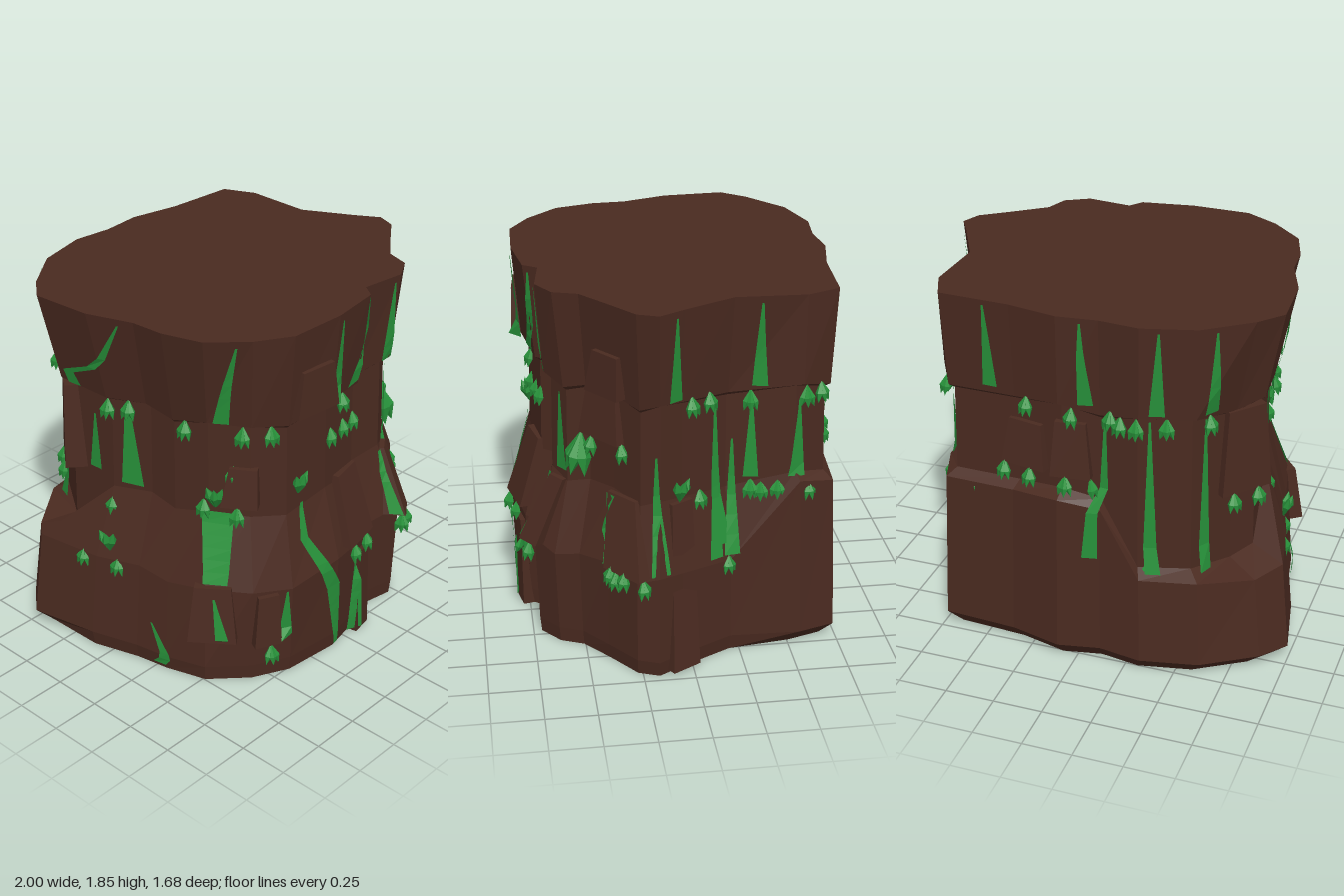
import * as THREE from 'three';
import { mergeGeometries } from 'three/addons/utils/BufferGeometryUtils.js';

const H = 1.85;
const rock = new THREE.MeshStandardMaterial({ color: 0x4a2a20, flatShading: true });
const green = new THREE.MeshStandardMaterial({ color: 0x27913a, flatShading: true, side: THREE.DoubleSide });

// Outline of the flat top as x, z pairs: left side, front, right side, back
const outline = [
  -0.88, -0.1, -0.8, 0.13, -0.79, 0.3, -0.73, 0.5, -0.57, 0.66, -0.4, 0.76, -0.1, 0.77,
  0.17, 0.73, 0.22, 0.66, 0.45, 0.69, 0.57, 0.62, 0.61, 0.5, 0.75, 0.39, 0.91, 0.27,
  0.95, 0.17, 0.88, 0.05, 0.75, -0.2, 0.76, -0.54, 0.69, -0.7, 0.33, -0.72, 0.08, -0.77,
  -0.12, -0.75, -0.32, -0.77, -0.58, -0.7, -0.8, -0.53, -0.9, -0.41];

// Cliff body: stacked rings, closed at both ends
function bodyGeometry() {
  const n = outline.length / 2, pos = [], index = [];
  for (let i = 0; i < n; i++) {
    const x = outline[2 * i], z = outline[2 * i + 1], wobble = Math.sin(i * 2.3);
    const left = x < -0.7, back = z < -0.5, front = z > 0.4, corner = x < -0.5 && z < -0.3;
    const swell = corner ? (left ? 1.11 : 1.08) : x > 0.7 ? 1.025 : 1.055 + 0.015 * wobble;
    const waist = left ? 0.85 : back ? 0.94 : 0.9;
    const lip = 1.38 + 0.025 * wobble;
    // The back steps in sharply above its ledge, the other sides slope in
    const ledge = (back && x > -0.2 ? 0.88 : 0.52) + 0.02 * wobble;
    const slope = ledge + (corner || back ? 0.04 : 0.36);
    const rows = [[0, 0], [0, swell * (z < -0.35 ? 0.92 : front ? 0.96 : 0.985)], [0.08, swell * (front ? 0.97 : 1)],
      [ledge, swell * (left ? 0.95 : back ? 0.965 : 0.99)], [slope, waist + 0.01], [lip - 0.02, waist],
      [lip, waist + 0.04 + 0.015 * wobble], [H, 1], [H, 0]];
    for (const [y, k] of rows) pos.push(x * k, y, z * k);
  }
  const r = pos.length / 3 / n;
  for (let i = 0; i < n; i++) for (let j = 0; j < r - 1; j++) {
    const a = i * r + j, b = ((i + 1) % n) * r + j;
    if (j > 0) index.push(a, b, b + 1);
    if (j < r - 2) index.push(a, b + 1, a + 1);
  }
  const g = new THREE.BufferGeometry();
  g.setAttribute('position', new THREE.Float32BufferAttribute(pos, 3));
  g.setIndex(index);
  g.computeVertexNormals();
  return g;
}

// One tuft: a narrow fan of pointed leaves growing up and out (+z)
function tuftGeometry() {
  const profile = [[0, 0], [0.022, 0.075], [0, 0.125]].map(p => new THREE.Vector2(...p));
  const leaves = [-0.3, 0, 0.3].map((side, i) =>
    new THREE.LatheGeometry(profile, 5).rotateX(0.2 + 0.15 * (i % 2)).rotateZ(-side));
  return mergeGeometries(leaves);
}

export function createModel() {
  const model = new THREE.Group();
  const add = (geometry, material, name) => {
    const mesh = new THREE.Mesh(geometry, material);
    mesh.name = name;
    model.add(mesh);
    return mesh;
  };
  const solids = [add(bodyGeometry(), rock, 'cliffBody')];
  const caster = new THREE.Raycaster();
  const cast = (from, dir) => {
    caster.set(from, dir);
    return caster.intersectObjects(solids)[0];
  };

  // Surface point facing compass angle az (degrees), h to the right, at height y
  function hit(az, h, y) {
    const a = az * Math.PI / 180;
    const d = new THREE.Vector3(Math.sin(a), 0, Math.cos(a));
    let found;
    for (let k = 1; !found; k -= 0.02) {
      const from = new THREE.Vector3(d.z, 0, -d.x).multiplyScalar(h * k).addScaledVector(d, 3).setY(y);
      found = cast(from, d.clone().negate());
    }
    const out = found.face.normal.clone().setY(0);
    if (out.length() < 0.2) out.copy(d);
    out.normalize();
    return { p: found.point, out, side: new THREE.Vector3(out.z, 0, -out.x) };
  }

  // Tapered rock slab leaning on the wall, thickest at its foot
  function slab(az, h, y0, y1, w) {
    const lo = hit(az, h, y0 + 0.01), hi = hit(az, h, y1), { out, side } = hit(az, h, (y0 + y1) / 2);
    const g = new THREE.BoxGeometry(w, 1, 1), v = g.attributes.position;
    for (let i = 0; i < v.count; i++) {
      const top = v.getY(i) > 0;
      const q = (top ? hi : lo).p.clone().setY(top ? y1 : y0)
        .addScaledVector(side, v.getX(i) * (top ? 0.75 : 1))
        .addScaledVector(out, v.getZ(i) < 0 ? -0.12 : top ? 0.025 : 0.05);
      v.setXYZ(i, q.x, q.y, q.z);
    }
    g.computeVertexNormals();
    return add(g, rock, 'rockSlab');
  }

  // Green streak draped on the wall from (h0, y0) down to (h1, y1)
  function streak(az, h0, y0, w0, h1, y1, w1) {
    const { out, side } = hit(az, (h0 + h1) / 2, (y0 + y1) / 2);
    const g = new THREE.PlaneGeometry(1, 1, 1, 6), v = g.attributes.position, lerp = THREE.MathUtils.lerp;
    for (let i = 0; i < v.count; i++) {
      const t = 0.5 - v.getY(i);
      const q = hit(az, lerp(h0, h1, t), lerp(y0, y1, t)).p.clone().addScaledVector(side, v.getX(i) * lerp(w0, w1, t));
      const found = cast(q.clone().addScaledVector(out, 0.25), out.clone().negate());
      if (found && found.distance < 0.32) q.copy(found.point);
      q.addScaledVector(out, 0.012);
      v.setXYZ(i, q.x, q.y, q.z);
    }
    g.computeVertexNormals();
    add(g, green, 'greenStreak');
  }

  const leafFan = tuftGeometry();
  function tuft(az, h, y, size = 0.9, up = false) {
    const { p, out } = hit(az, h, y);
    const m = add(leafFan, green, 'leafTuft');
    m.position.copy(p).addScaledVector(out, -0.005);
    m.rotation.set(0, Math.atan2(out.x, out.z), up ? 0 : Math.PI, 'YXZ');
    m.scale.setScalar(size);
  }

  // Slabs: facing angle, offset, bottom, top, width
  const slabs = [
    [0, -0.23, 1.4, 1.63, 0.26], [0, 0.07, 0.57, 0.93, 0.24], [0, 0.12, 0, 0.48, 0.12],
    [0, -0.53, 0.22, 0.5, 0.14], [-55, 0.03, 0.26, 0.55, 0.24], [0, 0.47, 0.53, 0.87, 0.13],
    [90, -0.38, 1.39, 1.6, 0.22], [90, -0.39, 1.14, 1.37, 0.26], [90, -0.31, 0.53, 0.88, 0.24],
    [90, -0.06, 0.02, 0.87, 0.16], [135, 0.3, 1.02, 1.25, 0.24],
    [225, 0.22, 0.92, 1.36, 0.28], [225, -0.53, 1.02, 1.3, 0.2], [225, 0.78, 0.95, 1.15, 0.18]];
  solids.push(...slabs.map(s => slab(...s)));

  // Pointed streaks: facing angle, top, bottom, then the offset of each
  const streaks = [
    [0, 1.82, 1.4, -0.82, -0.62, -0.08, 0.41], [0, 0.87, 0.54, 0.42, 0.74], [0, 0.48, 0.02, 0.06],
    [0, 0.5, 0.24, -0.73, -0.44], [0, 0.25, 0.03, -0.82],
    [90, 1.82, 1.4, -0.7, -0.09, 0.33], [90, 1.32, 0.92, -0.58, 0.3, 0.52], [90, 1.12, 0.54, -0.17, 0.12, 0.21],
    [135, 1.83, 1.41, 0.18, 0.56], [135, 1.34, 0.6, -0.42, 0.6],
    [225, 1.83, 1.41, -0.24, 0], [225, 1.36, 0.55, -0.25, -0.01], [225, 1.25, 0.95, 0.4]];
  for (const [az, y0, y1, ...offsets] of streaks)
    for (const h of offsets) streak(az, h, y0, 0.01, h, y1, 0.075);

  // Wide streaks on the left of the front, and one that bends down to the ground
  streak(0, -0.72, 1.33, 0.03, -0.72, 0.92, 0.12);
  streak(0, -0.6, 0.9, 0.16, -0.7, 0.56, 0.12);
  const bend = [[-0.27, 0.9, 0.02], [-0.29, 0.72, 0.05], [-0.14, 0.4, 0.09], [-0.09, 0.02, 0.03]];
  for (let i = 0; i < 3; i++) streak(0, ...bend[i], ...bend[i + 1]);

  // A pair of tufts under every slab that hangs from the middle of the wall
  for (const [az, h, y0, , w] of slabs)
    if (y0 > 0.5 && y0 < 1.39) for (const s of [-1, 1]) tuft(az, h + s * w / 4, y0 + 0.015);

  // Tufts along the ledges: facing angle, height, then the offset of each
  const tufts = [
    [0, 1.38, -0.78, -0.68, -0.55, -0.45, 0.03], [0, 1.22, -0.05, 0.06, 0.15], [0, 0.56, 0.83, 0.9],
    [0, 0.84, -0.77], [0, 1.16, -0.56], [0, 0.23, -0.54], [90, 1.4, 0, 0.09, 0.63, 0.72], [90, 0.91, 0.3, 0.43],
    [90, 0.54, 0.19], [135, 1.38, -0.3, -0.1, 0.5, 0.68], [135, 0.9, -0.5, -0.25, -0.1, 0.1], [180, 1.38, 0.3],
    [180, 0.6, 0.35], [225, 1.4, -0.4, -0.2, 0, 0.55], [225, 0.55, -0.2, -0.1, 0.2, 0.5, 0.6]];
  for (const [az, y, ...offsets] of tufts)
    for (const h of offsets) tuft(az, h, y);

  // One long hanging tuft, and upright ones growing on the slopes
  tuft(90, -0.5, 1.15, 1.8);
  for (const [az, h, y] of [[0, -0.28, 0.94], [0, -0.61, 0.91], [0, -0.85, 0.56], [90, -0.06, 0.87]]) tuft(az, h, y, 1.1, true);
  return model;
}
